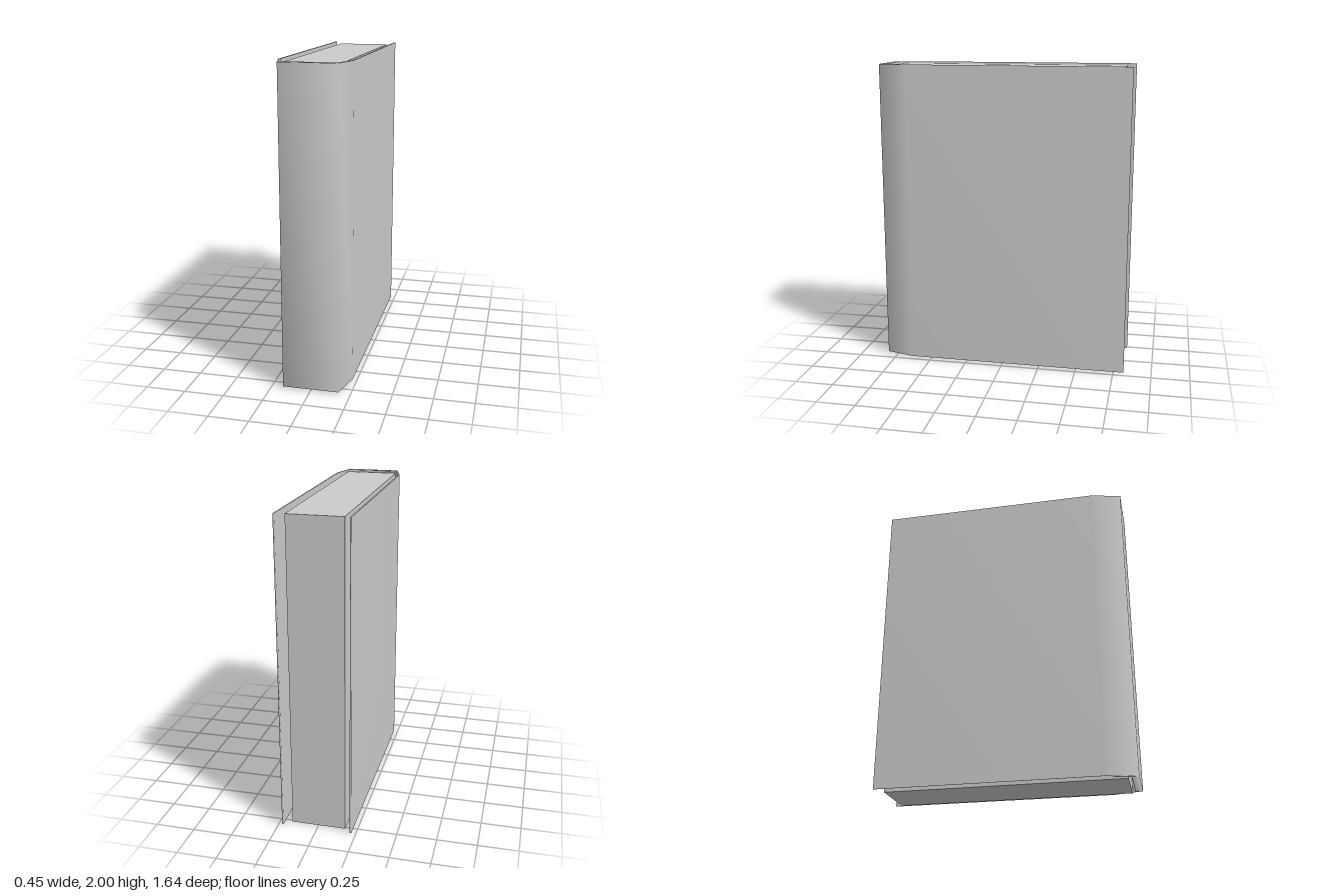
import * as THREE from 'three';
import { mergeVertices } from 'three/addons/utils/BufferGeometryUtils.js';

export function createModel() {
  const book = new THREE.Group();
  book.name = 'book';

  // Cover: U-shaped plan in (x, z), one half mirrored, extruded upwards
  const outer = [[0.225, -0.82], [0.225, 0.63], [0.175, 0.82]];
  const inner = [[0.165, 0.775], [0.215, 0.62], [0.215, -0.82]];
  const mirror = (pts) => pts.map(([x, z]) => [-x, z]).reverse();
  const plan = [...outer, ...mirror(outer), ...mirror(inner), ...inner];
  const shape = new THREE.Shape(plan.map(([x, z]) => new THREE.Vector2(x, -z)));
  let coverGeometry = new THREE.ExtrudeGeometry(shape, { depth: 1.99, bevelEnabled: false });
  coverGeometry.rotateX(-Math.PI / 2).translate(0, 0.01, 0);

  // Shared corners give the cover its soft, rounded shading
  coverGeometry.deleteAttribute('normal');
  coverGeometry.deleteAttribute('uv');
  coverGeometry = mergeVertices(coverGeometry, 1e-4);
  coverGeometry.computeVertexNormals();
  const cover = new THREE.Mesh(coverGeometry, new THREE.MeshStandardMaterial({ color: 0xcccccc }));
  cover.name = 'cover';

  // Page block, standing just inside the cover
  const pages = new THREE.Mesh(
    new THREE.BoxGeometry(0.345, 1.99, 1.52),
    new THREE.MeshStandardMaterial({ color: 0xcccccc })
  );
  pages.name = 'pages';
  pages.position.set(0, 0.995, -0.005);

  book.add(cover, pages);
  return book;
}
